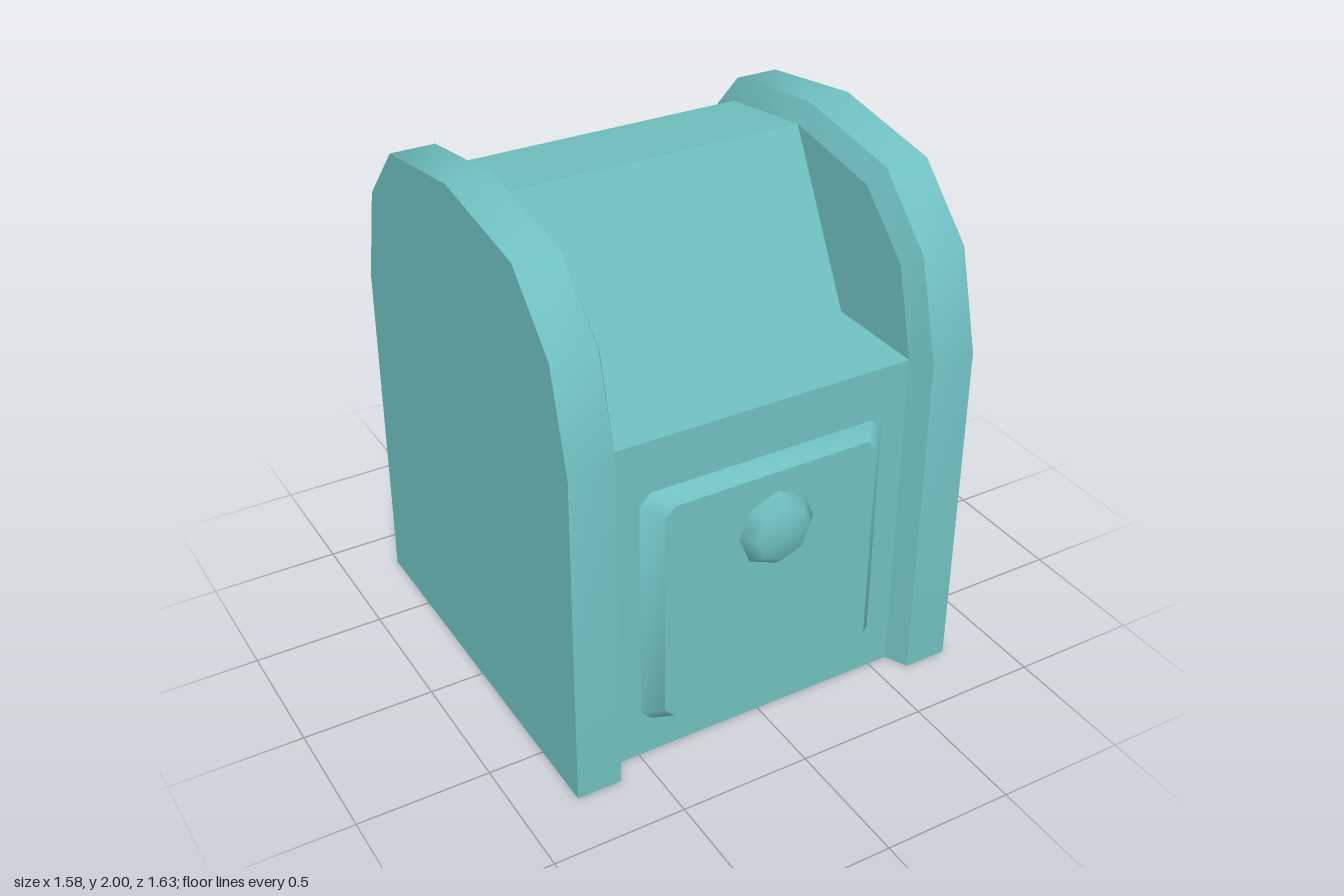
import * as THREE from 'three';
import { toCreasedNormals } from 'three/addons/utils/BufferGeometryUtils.js';

// Side profiles as [z, y], from the front foot over the top to the back foot
const OUTER = [[0.77, 0], [0.77, 1.32], [0.67, 1.69], [0.435, 1.925], [-0.04, 2],
  [-0.51, 1.93], [-0.72, 1.7], [-0.81, 1.33], [-0.815, 0]];
const INNER = [[0.685, 0], [0.685, 1.31], [0.6, 1.64], [0.385, 1.85], [-0.045, 1.92],
  [-0.47, 1.86], [-0.65, 1.65], [-0.735, 1.31], [-0.74, 0]];
const SLOPE_FOOT = [0.28, 1.31];
const BODY = [...INNER.slice(0, 2), SLOPE_FOOT, ...INNER.slice(4)];
const CUTOUT = [...INNER.slice(1, 5), SLOPE_FOOT];

// Skin between successive rows of points
function loft(rows) {
  const n = rows[0].length;
  const index = [];
  for (let r = 0; r < rows.length - 1; r++) {
    for (let i = 0; i < n - 1; i++) {
      const a = r * n + i, b = a + n;
      index.push(a, b, b + 1, a, b + 1, a + 1);
    }
  }
  const geometry = new THREE.BufferGeometry();
  geometry.setAttribute('position', new THREE.Float32BufferAttribute(rows.flat(2), 3));
  geometry.setIndex(index);
  return toCreasedNormals(geometry, THREE.MathUtils.degToRad(40));
}

const section = (profile, x) => profile.map(([z, y]) => [x, y, z]);

// Flat panel at x, facing +x or -x
function panel(profile, x, facing) {
  const shape = new THREE.Shape(profile.map(([z, y]) => new THREE.Vector2(-facing * z, y)));
  return new THREE.ShapeGeometry(shape).rotateY(facing * Math.PI / 2).translate(x, 0, 0);
}

// Closed rectangle with clipped corners, counter-clockwise
function clippedRect(x0, x1, y0, y1, c, z) {
  return [[x0 + c, y0], [x1 - c, y0], [x1, y0 + c], [x1, y1 - c],
    [x1 - c, y1], [x0 + c, y1], [x0, y1 - c], [x0, y0 + c], [x0 + c, y0]]
    .map(([x, y]) => [x, y, z]);
}

export function createModel() {
  const model = new THREE.Group();
  const material = new THREE.MeshStandardMaterial({ color: 0x70c0c0, side: THREE.DoubleSide });
  const add = (name, geometry, parent = model) => {
    const mesh = new THREE.Mesh(geometry, material);
    mesh.name = name;
    parent.add(mesh);
    return mesh;
  };

  // Hollow body with front ledge, sloping face and rounded back; open below
  add('body', loft([section(BODY, -0.58), section(BODY, 0.58)]));

  // Side frames: outer wall, rim with inward bevel, and wall beside the cutout
  for (const side of [-1, 1]) {
    const frame = new THREE.Group();
    frame.name = side > 0 ? 'leftFrame' : 'rightFrame';
    const rows = [section(INNER, side * 0.58), section(OUTER, side * 0.62), section(OUTER, side * 0.79)];
    add('rim', loft(side > 0 ? rows : rows.reverse()), frame);
    add('outerWall', panel(OUTER, side * 0.79, side), frame);
    add('cutoutWall', panel(CUTOUT, side * 0.58, -side), frame);
    model.add(frame);
  }

  // Raised door with bevelled edges
  const door = new THREE.Group();
  door.name = 'door';
  const base = clippedRect(-0.49, 0.48, 0.15, 1.11, 0.042, 0.685);
  const face = clippedRect(-0.43, 0.415, 0.186, 1.076, 0.038, 0.75);
  add('doorBevel', loft([face, base]), door);
  const faceShape = new THREE.Shape(face.slice(0, -1).map(([x, y]) => new THREE.Vector2(x, y)));
  add('doorFace', new THREE.ShapeGeometry(faceShape).translate(0, 0, 0.75), door);
  model.add(door);

  // Flattened faceted-outline knob
  const knob = new THREE.SphereGeometry(0.15, 8, 2, 0, Math.PI * 2, 0, Math.PI / 2);
  knob.rotateX(Math.PI / 2).scale(1, 1, 0.433).translate(0.01, 0.85, 0.75);
  add('knob', knob);

  return model;
}
